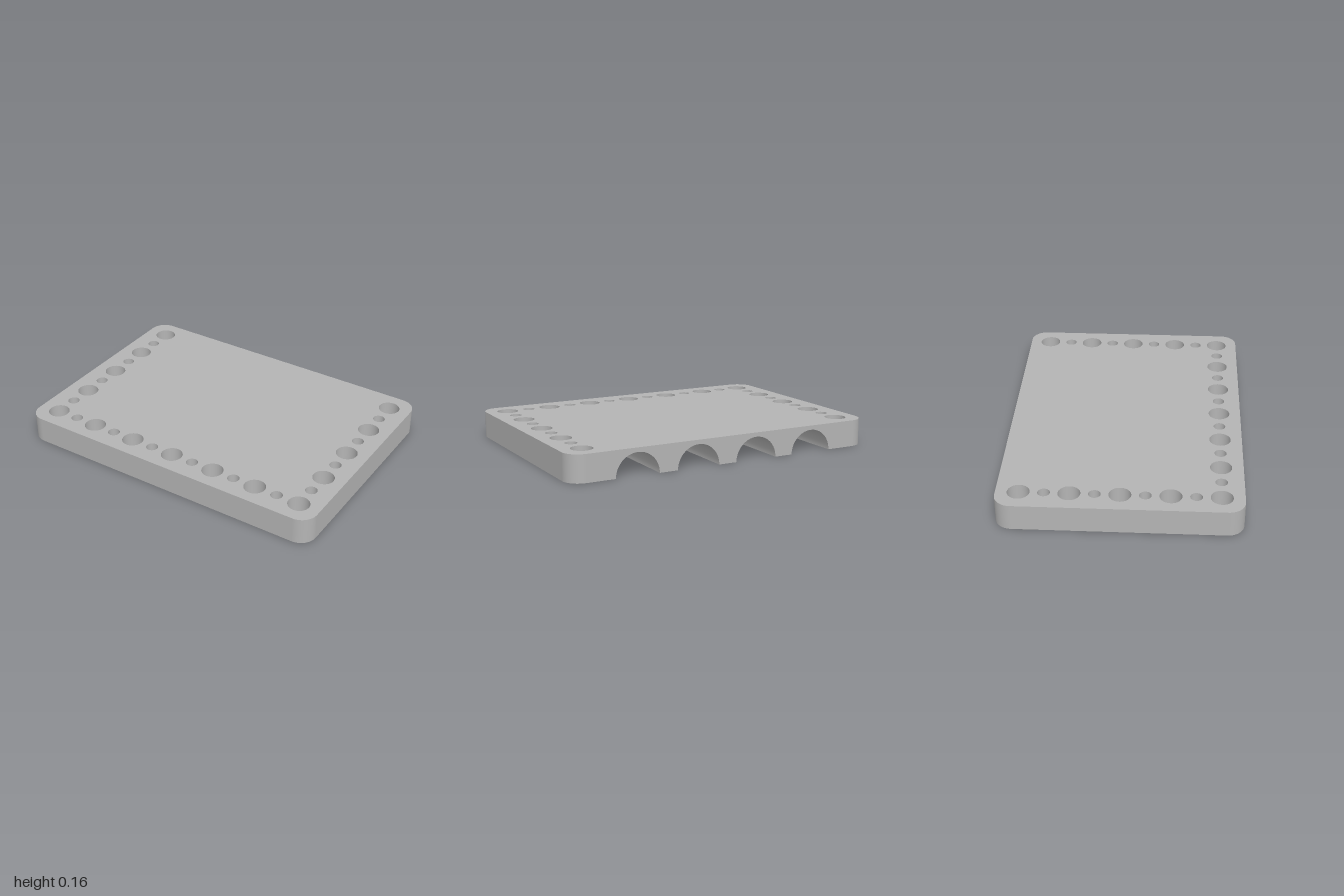
import * as THREE from 'three';

const W = 1, D = 0.71, H = 0.163, R = 0.1;       // half width, half depth, height, corner radius
const GROOVE_R = 0.137, GROOVE_END = 0.44;       // channel radius and its closed front end
const GROOVES = [-0.585, -0.195, 0.195, 0.585];  // channel centres in x
const PITCH = 0.2887, BIG = 0.065, SMALL = 0.036;

// Turn a surface inside out
function flip(geo) {
  const index = geo.index.array;
  for (let i = 0; i < index.length; i += 3) [index[i], index[i + 1]] = [index[i + 1], index[i]];
  const n = geo.attributes.normal;
  for (let i = 0; i < n.count; i++) n.setXYZ(i, -n.getX(i), -n.getY(i), -n.getZ(i));
  return geo;
}

// Alternating large and small holes along both sides and the front
function holeList() {
  const holes = [];
  for (let i = -4; i <= 4; i++) {
    for (const s of [-1, 1]) holes.push([s * 3 * PITCH, i * PITCH / 2, i % 2 ? SMALL : BIG]);
  }
  for (let i = -5; i <= 5; i++) holes.push([i * PITCH / 2, 2 * PITCH, i % 2 ? BIG : SMALL]);
  // along the front the large holes fall on whole pitches
  return holes.map(([x, z, r], k) => (k < 18 ? [x, z, r] : [x, z, r === BIG ? SMALL : BIG]));
}

// Rounded outline in x,z with holes; optionally notched where the channels open
function plateFace(holes, notched) {
  const s = new THREE.Shape();
  s.moveTo(-W + R, -D);
  if (notched) {
    for (const c of GROOVES) {
      s.lineTo(c - GROOVE_R, -D);
      s.lineTo(c - GROOVE_R, GROOVE_END);
      s.lineTo(c + GROOVE_R, GROOVE_END);
      s.lineTo(c + GROOVE_R, -D);
    }
  }
  s.lineTo(W - R, -D);
  s.absarc(W - R, -D + R, R, -Math.PI / 2, 0, false);
  s.absarc(W - R, D - R, R, 0, Math.PI / 2, false);
  s.absarc(-W + R, D - R, R, Math.PI / 2, Math.PI, false);
  s.absarc(-W + R, -D + R, R, Math.PI, Math.PI * 1.5, false);
  for (const [x, z, r] of holes) {
    s.holes.push(new THREE.Path().absarc(x, z, r, 0, Math.PI * 2, true));
  }
  return new THREE.ShapeGeometry(s, 16).rotateX(Math.PI / 2); // faces down
}

// Smooth wall round the corners, sides and front, open at the back
function outerWall() {
  const pos = [], nor = [], idx = [], steps = 16;
  for (let c = 0; c < 4; c++) {
    const cx = (c < 2 ? 1 : -1) * (W - R);
    const cz = (c === 1 || c === 2 ? 1 : -1) * (D - R);
    for (let i = 0; i <= steps; i++) {
      const a = (c - 1 + i / steps) * Math.PI / 2;
      const nx = Math.cos(a), nz = Math.sin(a);
      for (const y of [0, H]) {
        pos.push(cx + R * nx, y, cz + R * nz);
        nor.push(nx, 0, nz);
      }
    }
  }
  for (let k = 0; k < pos.length / 3 - 2; k += 2) idx.push(k, k + 1, k + 2, k + 1, k + 3, k + 2);
  const g = new THREE.BufferGeometry();
  g.setAttribute('position', new THREE.Float32BufferAttribute(pos, 3));
  g.setAttribute('normal', new THREE.Float32BufferAttribute(nor, 3));
  g.setIndex(idx);
  return g;
}

// Flat back wall with the arched channel mouths
function backWall() {
  const s = new THREE.Shape();
  s.moveTo(-W + R, 0);
  for (const c of GROOVES) {
    s.lineTo(c - GROOVE_R, 0);
    s.absarc(c, 0, GROOVE_R, Math.PI, 0, true);
  }
  s.lineTo(W - R, 0);
  s.lineTo(W - R, H);
  s.lineTo(-W + R, H);
  return new THREE.ShapeGeometry(s, 16).rotateY(Math.PI).translate(0, 0, -D);
}

export function createModel() {
  const model = new THREE.Group();
  model.name = 'groovedPlate';
  const grey = new THREE.MeshStandardMaterial({ color: 0xb4b4b4 });
  grey.name = 'grey';
  const add = (name, geo, parent = model) => {
    const mesh = new THREE.Mesh(geo, grey);
    mesh.name = name;
    parent.add(mesh);
    return mesh;
  };
  const holes = holeList();

  // Plate shell
  add('topFace', flip(plateFace(holes, false)).translate(0, H, 0));
  add('bottomFace', plateFace(holes, true));
  add('outerWall', outerWall());
  add('backWall', backWall());

  // Hole linings
  const linings = new THREE.Group();
  linings.name = 'holeLinings';
  model.add(linings);
  for (const [x, z, r] of holes) {
    add('holeLining', flip(new THREE.CylinderGeometry(r, r, H, 32, 1, true)), linings).position.set(x, H / 2, z);
  }

  // Half-round channels underneath, closed at the front
  const length = GROOVE_END + D;
  for (const c of GROOVES) {
    const channel = new THREE.Group();
    channel.name = 'channel';
    channel.position.x = c;
    model.add(channel);
    const vault = new THREE.CylinderGeometry(GROOVE_R, GROOVE_R, length, 32, 1, true, Math.PI / 2, Math.PI);
    add('channelVault', flip(vault.rotateX(Math.PI / 2)), channel).position.z = GROOVE_END - length / 2;
    const end = new THREE.CircleGeometry(GROOVE_R, 32, 0, Math.PI).rotateY(Math.PI);
    add('channelEnd', end, channel).position.z = GROOVE_END;
  }
  return model;
}
